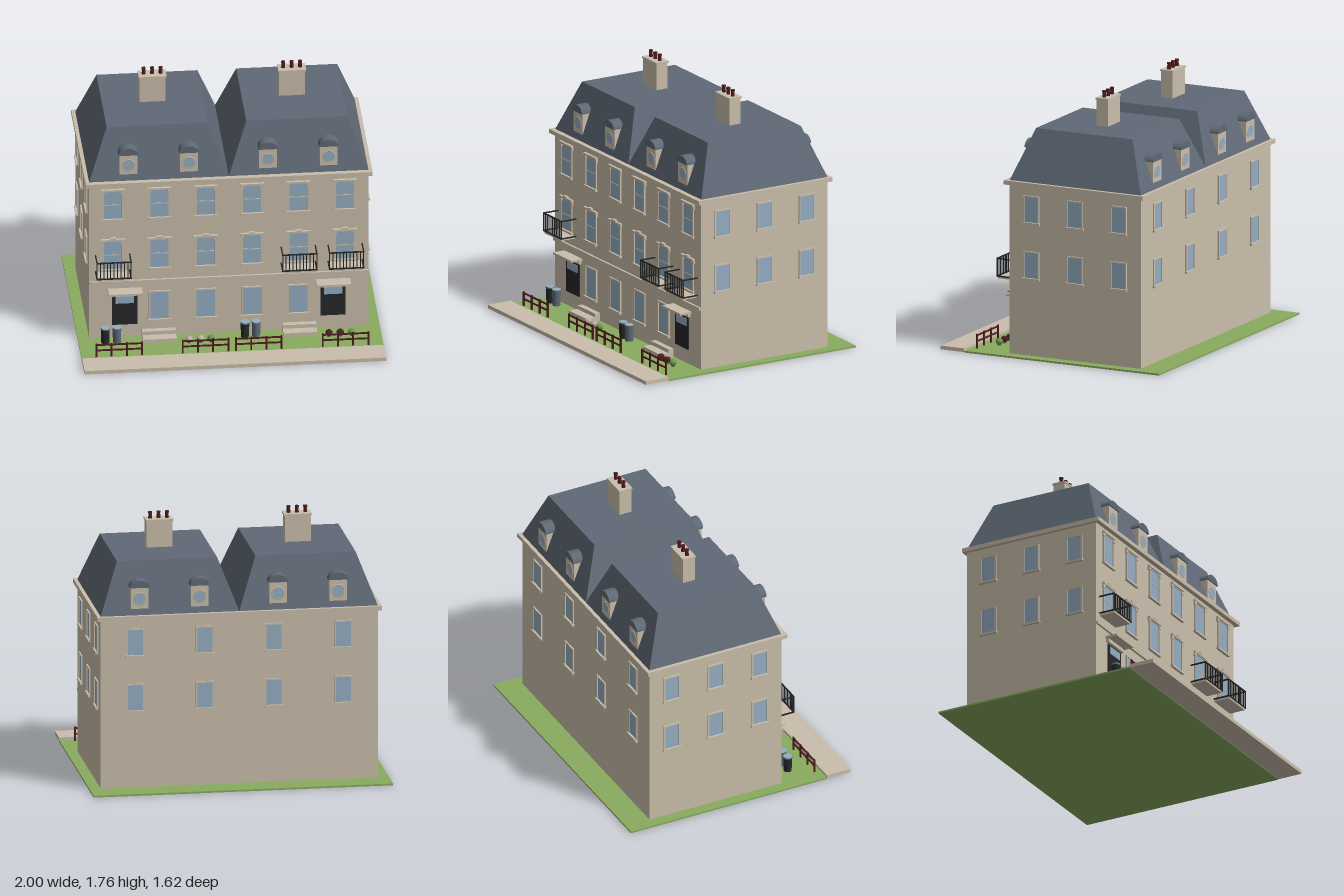
import * as THREE from 'three';

export function createModel() {
  const mat = (name, color) => Object.assign(new THREE.MeshStandardMaterial({ color }), { name });
  const stone = mat('stone', 0xcabeab);
  const slate = mat('slate', 0x5f6975);
  const glass = mat('glass', 0x94aec3);
  const grass = mat('grass', 0x89ac5f);
  const black = mat('black', 0x26272a);
  const oxblood = mat('oxblood', 0x501c20);
  const leaf = mat('leaf', 0x6f964f);
  const blossom = mat('blossom', 0xbfb0aa);
  const leafFlat = leaf, model = new THREE.Group();
  model.name = 'terraceHouses';

  const add = (parent, name, geo, m, x = 0, y = 0, z = 0) => {
    const mesh = new THREE.Mesh(geo, m);
    mesh.name = name;
    mesh.position.set(x, y, z);
    parent.add(mesh);
    return mesh;
  };
  // Box given by its limits on each axis
  const box = (parent, name, m, x0, x1, y0, y1, z0, z1) =>
    add(parent, name, new THREE.BoxGeometry(x1 - x0, y1 - y0, z1 - z0), m,
      (x0 + x1) / 2, (y0 + y1) / 2, (z0 + z1) / 2);
  const group = (name, x = 0, y = 0, z = 0, turn = 0) => {
    const g = new THREE.Group();
    g.name = name;
    g.position.set(x, y, z);
    g.rotation.y = turn;
    model.add(g);
    return g;
  };

  const FRONT = 0.34, BACK = -0.637, SIDE = 0.925, MID = -0.15;

  // Ground
  box(model, 'lawn', grass, -1, 1, 0, 0.012, -0.812, 0.637);
  box(model, 'pavement', stone, -1, 1, 0.003, 0.028, 0.637, 0.812);

  // Walls and mouldings
  box(model, 'walls', stone, -SIDE, SIDE, 0.005, 1.185, BACK, FRONT);
  box(model, 'cornice', stone, -0.95, 0.95, 1.157, 1.185, -0.662, 0.372);
  box(model, 'stringCourse', stone, -SIDE, SIDE, 0.42, 0.44, FRONT, 0.355);

  // Sash window facing +z, its foot at the group's origin
  function sash(name, x, y, z, turn, w, h, style) {
    const g = group(name, x, y, z, turn), a = w / 2, t = 0.01;
    box(g, 'pane', glass, -a, a, 0, h, 0, 0.004);
    for (const s of [-1, 1]) box(g, 'jamb', stone, s * (a + t / 2) - t / 2, s * (a + t / 2) + t / 2, 0, h, 0, 0.01);
    box(g, 'head', stone, -a - t, a + t, h, h + 0.01, 0, 0.01);
    box(g, 'sill', stone, -a - 0.016, a + 0.016, -0.014, 0, 0, 0.018);
    if (style === 'plain') return;
    box(g, 'meetingRail', stone, -a, a, h / 2 - 0.003, h / 2 + 0.003, 0, 0.007);
    if (style === 'ground') return;
    box(g, 'lintel', stone, -a - 0.02, a + 0.02, h + 0.004, h + 0.017, 0, 0.018);
    for (const s of [-1, 1]) box(g, 'ear', stone, s * (a + 0.008) - 0.012, s * (a + 0.008) + 0.012, h - 0.018, h + 0.004, 0, 0.013);
    if (style === 'crowned') box(g, 'keystone', stone, -0.02, 0.02, h + 0.017, h + 0.028, 0, 0.02);
  }
  for (const x of [-0.769, -0.46, -0.153, 0.153, 0.46, 0.769]) {
    sash('frontTopWindow', x, 0.908, FRONT, 0, 0.118, 0.204, 'headed');
    sash('frontMiddleWindow', x, 0.53, FRONT, 0, 0.118, 0.208, 'crowned');
    if (Math.abs(x) < 0.7) sash('frontGroundWindow', x, 0.142, FRONT, 0, 0.122, 0.2, 'plain');
  }
  for (const y of [0.538, 0.915]) {
    for (const x of [-0.694, -0.231, 0.231, 0.694]) sash('backWindow', x, y, BACK, Math.PI, 0.1, 0.17, 'plain');
    for (const s of [-1, 1])
      for (const z of [0.177, -0.149, -0.474]) sash('sideWindow', s * SIDE, y, z, s * Math.PI / 2, 0.1, 0.17, 'plain');
  }

  // Doors, canopies and steps
  for (const x of [-0.69, 0.69]) {
    const g = group('entrance', x, 0, FRONT);
    box(g, 'door', black, -0.083, 0.083, 0.11, 0.333, 0, 0.008);
    box(g, 'doorLight', glass, -0.062, 0.062, 0.27, 0.322, 0.008, 0.012);
    box(g, 'canopyBracket', stone, -0.1, 0.1, 0.34, 0.366, 0, 0.02);
    box(g, 'canopy', stone, -0.113, 0.113, 0.366, 0.38, 0, 0.088);
  }
  for (const x of [-0.465, 0.465]) {
    box(model, 'lowerStep', stone, x - 0.112, x + 0.112, -0.0005 + 0.001, 0.04, FRONT, 0.443);
    box(model, 'upperStep', stone, x - 0.112, x + 0.112, 0.04, 0.066, FRONT, 0.378);
  }

  // Balconies
  for (const x of [-0.77, 0.46, 0.77]) {
    const g = group('balcony', x, 0, FRONT), w = 0.113, d = 0.112;
    box(g, 'slab', stone, -0.105, 0.105, 0.497, 0.51, 0, d);
    for (const y of [0.514, 0.634]) {
      box(g, 'frontRail', black, -w - 0.004, w + 0.004, y - 0.004, y + 0.004, d - 0.004, d + 0.004);
      for (const s of [-1, 1]) box(g, 'sideRail', black, s * w - 0.004, s * w + 0.004, y - 0.004, y + 0.004, 0, d);
    }
    for (let i = 0; i <= 10; i++) {
      const bx = -w + i * w / 5;
      box(g, 'baluster', black, bx - 0.003, bx + 0.003, 0.514, 0.634, d - 0.003, d + 0.003);
    }
  }

  // Two mansard roofs: boxes with the top drawn in by the same amount on each side
  for (const s of [-1, 1]) {
    const geo = new THREE.BoxGeometry(SIDE, 0.34, 0.974), p = geo.attributes.position;
    for (let i = 0; i < p.count; i++) if (p.getY(i) > 0) {
      p.setX(i, p.getX(i) - Math.sign(p.getX(i)) * 0.128);
      p.setZ(i, p.getZ(i) - Math.sign(p.getZ(i)) * 0.128);
    }
    geo.computeVertexNormals();
    add(model, 'mansardRoof', geo, slate, s * SIDE / 2, 1.355, MID);

    // Chimney with three pots
    const c = group('chimney', s * 0.462, 1.52, -0.153);
    box(c, 'stack', stone, -0.086, 0.086, 0, 0.185, -0.043, 0.043);
    box(c, 'stackCap', stone, -0.092, 0.092, 0.182, 0.194, -0.048, 0.048);
    for (const x of [-0.056, 0, 0.056]) {
      add(c, 'pot', new THREE.CylinderGeometry(0.011, 0.013, 0.045, 12), oxblood, x, 0.214, 0);
      add(c, 'potRim', new THREE.CylinderGeometry(0.014, 0.014, 0.01, 12), oxblood, x, 0.235, 0);
    }
  }

  // Dormers, front and back, with barrel tops and round panes
  const arch = new THREE.Shape();
  arch.moveTo(0.066, 0);
  arch.absellipse(0, 0, 0.066, 0.05, 0, Math.PI, false);
  arch.closePath();
  const barrel = new THREE.ExtrudeGeometry(arch, { depth: 0.13, bevelEnabled: false, curveSegments: 16 });
  for (const x of [-0.663, -0.262, 0.262, 0.663])
    for (const s of [1, -1]) {
      const g = group('dormer', x, 0, MID, s > 0 ? 0 : Math.PI);
      box(g, 'dormerBody', stone, -0.059, 0.059, 1.22, 1.368, 0.36, 0.472);
      add(g, 'dormerRoof', barrel, slate, 0, 1.368, 0.35);
      const ring = add(g, 'roundFrame', new THREE.TorusGeometry(0.041, 0.004, 6, 28), stone, 0, 1.292, 0.472);
      ring.scale.z = 0.8;
      add(g, 'roundPane', new THREE.CircleGeometry(0.04, 28), glass, 0, 1.292, 0.474);
    }

  // Front fences
  for (const x0 of [-0.907, -0.335, 0.018, 0.592]) {
    const g = group('fence', x0, 0, 0.595), len = 0.314;
    for (let i = 0; i < 4; i++) {
      const x = 0.006 + i * (len - 0.012) / 3;
      box(g, 'post', oxblood, x - 0.006, x + 0.006, 0.003, 0.11, -0.005, 0.005);
    }
    for (const y of [0.06, 0.1]) box(g, 'rail', oxblood, 0, len, y - 0.005, y + 0.005, -0.004, 0.004);
  }

  // Dustbins
  for (const [x, m] of [[-0.827, black], [-0.75, slate], [0.098, black], [0.172, slate]]) {
    const g = group('dustbin', x, 0, 0.435);
    add(g, 'binBody', new THREE.CylinderGeometry(0.029, 0.027, 0.105, 20), m, 0, 0.0825, 0);
    add(g, 'binRim', new THREE.CylinderGeometry(0.031, 0.031, 0.008, 20), slate, 0, 0.134, 0);
    add(g, 'binLid', new THREE.CylinderGeometry(0.029, 0.03, 0.004, 20), glass, 0, 0.14, 0);
  }

  // Small shrubs
  const shrub = new THREE.IcosahedronGeometry(0.025, 1);
  [[-0.276, blossom], [-0.2, blossom], [-0.13, leafFlat], [0.65, oxblood], [0.725, oxblood], [0.8, leafFlat]]
    .forEach(([x, m], i) => {
      const b = add(model, 'shrub', shrub, m, x, 0.052, 0.48);
      b.scale.y = 0.9;
      b.rotation.y = i;
      add(model, 'shrubLeaves', new THREE.CylinderGeometry(0.022, 0.012, 0.02, 8), leaf, x, 0.035, 0.48);
    });

  return model;
}
